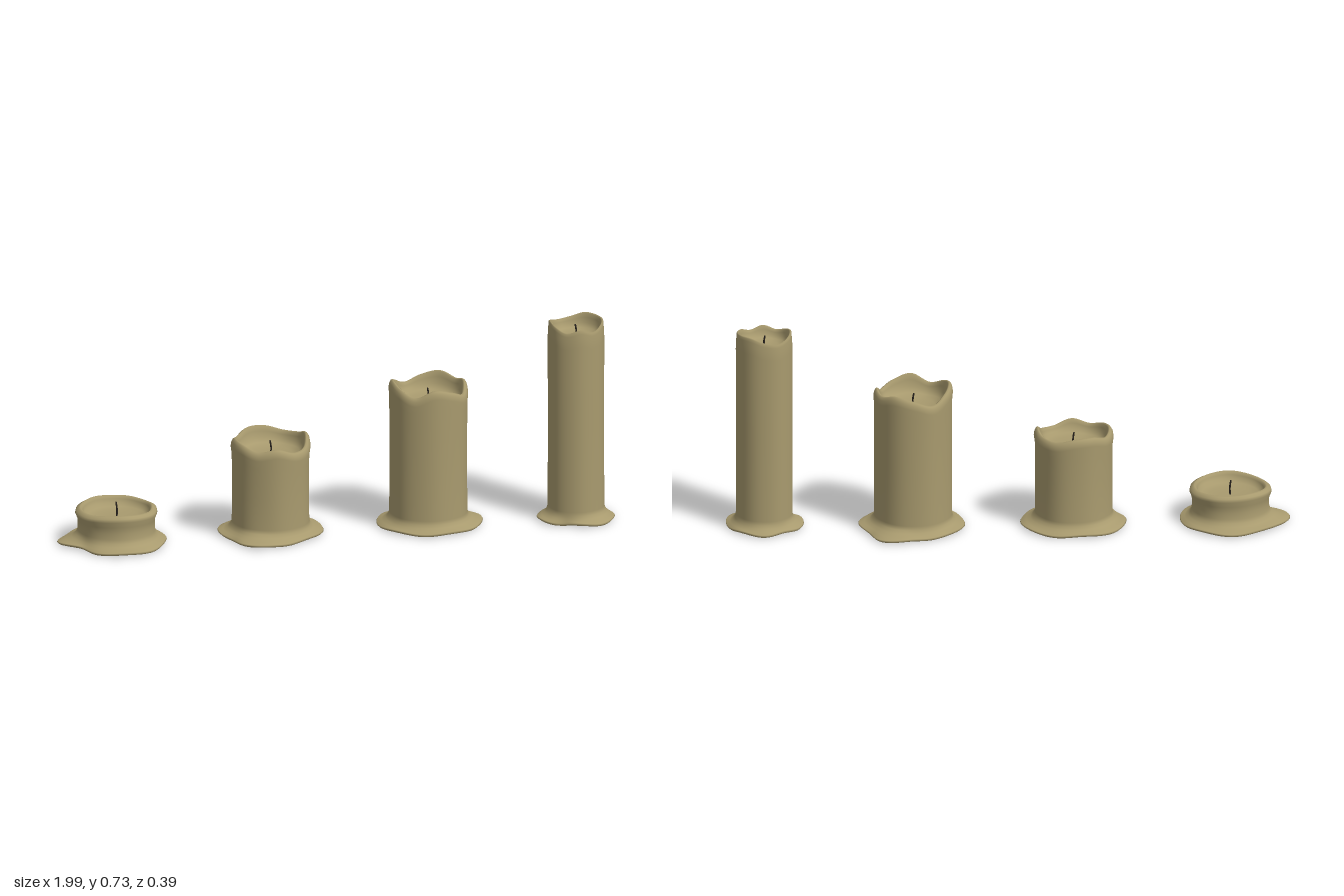
import * as THREE from 'three';

const SEGMENTS = 96;
const WAX = 0xa89a6e;

// Outlines are sampled every 30 degrees, counter-clockwise from +x as seen from above.
const CANDLES = [
  { name: 'stubCandle', x: -0.787, z: 0.005, radius: 0.137, bulge: 1.06, floor: 0.095, wickTop: 0.147,
    skirt: [.178, .182, .186, .19, .185, .187, .212, .165, .183, .19, .185, .176],
    rim: [.134, .131, .134, .136, .138, .134, .13, .128, .133, .137, .134, .131] },
  { name: 'shortCandle', x: -0.232, z: 0, radius: 0.137, bulge: 1.03, floor: 0.295, wickTop: 0.34,
    skirt: [.188, .188, .18, .172, .18, .188, .187, .176, .213, .185, .17, .18],
    rim: [.365, .35, .345, .36, .362, .345, .358, .352, .335, .347, .328, .336] },
  { name: 'mediumCandle', x: 0.335, z: -0.005, radius: 0.138, bulge: 1.02, floor: 0.455, wickTop: 0.5,
    skirt: [.194, .183, .215, .175, .168, .18, .184, .18, .175, .174, .18, .185],
    rim: [.525, .515, .53, .515, .495, .52, .54, .525, .502, .53, .515, .495] },
  { name: 'tallCandle', x: 0.86, z: 0.027, radius: 0.1, bulge: 0.99, floor: 0.675, wickTop: 0.715,
    skirt: [.135, .13, .131, .134, .125, .134, .14, .136, .113, .127, .139, .14],
    rim: [.732, .735, .735, .72, .714, .725, .735, .725, .71, .722, .71, .725] },
];

// Smooth periodic interpolation through evenly spaced samples
function sampleLoop(values, turn) {
  const n = values.length, f = turn * n, i = Math.floor(f), t = f - i;
  const [a, b, c, d] = [-1, 0, 1, 2].map((k) => values[(i + k + n) % n]);
  return b + 0.5 * t * (c - a + t * (2 * a - 5 * b + 4 * c - d + t * (3 * (b - c) + d - a)));
}

// Cross-section [radius, height] from under the skirt, up the side, over the rim and into the bowl
function section(c, turn) {
  const angle = turn * Math.PI * 2;
  const edge = sampleLoop(c.skirt, turn), top = sampleLoop(c.rim, turn);
  const r = c.radius * (1 + 0.008 * Math.sin(3 * angle + c.x * 9) + 0.005 * Math.sin(7 * angle));
  const lip = 0.005 + 0.003 * Math.sin(5 * angle + c.x * 4);
  const spread = (t) => r + (edge - r) * t;
  const inside = (t) => c.floor + (top - c.floor) * t;
  const soft = Math.min(0.06, top * 0.3);
  return [
    [0, 0.006], [edge * 0.6, 0.006], [edge * 0.97, lip],
    [edge * 0.97, lip], [edge, lip + 0.005], [edge * 0.985, lip + 0.009],
    [spread(0.6), 0.019], [spread(0.3), 0.027], [spread(0.1), 0.037], [r, 0.05],
    [r * 0.995, 0.05 + (top - soft - 0.05) * 0.5], [r, top - soft],
    [r * c.bulge, top - soft * 0.5], [r * (c.bulge - 0.02), top - soft * 0.22],
    [r * 0.965, top - 0.003], [r * 0.925, top], [r * 0.885, top - 0.004],
    [r * 0.86, inside(0.7)], [r * 0.83, inside(0.4)], [r * 0.74, inside(0.15)],
    [r * 0.55, inside(0.04)], [r * 0.3, c.floor], [0, c.floor],
  ];
}

function waxGeometry(c) {
  const positions = [], indices = [];
  let rows = 0;
  for (let i = 0; i < SEGMENTS; i++) {
    const angle = (i / SEGMENTS) * Math.PI * 2;
    const profile = section(c, i / SEGMENTS);
    rows = profile.length;
    for (const [r, y] of profile) positions.push(r * Math.cos(angle), y, -r * Math.sin(angle));
  }
  for (let i = 0; i < SEGMENTS; i++) {
    const next = ((i + 1) % SEGMENTS) * rows;
    for (let j = 0; j < rows - 1; j++) {
      const a = i * rows + j, b = next + j;
      indices.push(a, b, a + 1, b, b + 1, a + 1);
    }
  }
  const geometry = new THREE.BufferGeometry();
  geometry.setAttribute('position', new THREE.Float32BufferAttribute(positions, 3));
  geometry.setIndex(indices);
  geometry.computeVertexNormals();
  // Poles share one vertical normal
  const normals = geometry.attributes.normal;
  for (let i = 0; i < SEGMENTS; i++) {
    normals.setXYZ(i * rows, 0, -1, 0);
    normals.setXYZ(i * rows + rows - 1, 0, 1, 0);
  }
  return geometry;
}

export function createModel() {
  const model = new THREE.Group();
  model.name = 'meltedCandles';
  const waxMaterial = new THREE.MeshStandardMaterial({ color: WAX });
  const wickMaterial = new THREE.MeshStandardMaterial({ color: 0x2a2520 });

  for (const c of CANDLES) {
    const candle = new THREE.Group();
    candle.name = c.name;
    candle.position.set(c.x, 0, c.z);

    const wax = new THREE.Mesh(waxGeometry(c), waxMaterial);
    wax.name = 'wax';

    // Slightly bent wick standing in the bowl
    const path = new THREE.CatmullRomCurve3([
      new THREE.Vector3(0, c.floor - 0.005, 0),
      new THREE.Vector3(0.001, (c.floor + c.wickTop) / 2, 0),
      new THREE.Vector3(-0.002, c.wickTop, -0.002),
    ]);
    const wick = new THREE.Mesh(new THREE.TubeGeometry(path, 8, 0.003, 8), wickMaterial);
    wick.name = 'wick';
    const tip = new THREE.Mesh(new THREE.SphereGeometry(0.003, 8, 6), wickMaterial);
    tip.name = 'wickTip';
    tip.position.copy(path.getPoint(1));

    candle.add(wax, wick, tip);
    model.add(candle);
  }
  return model;
}
